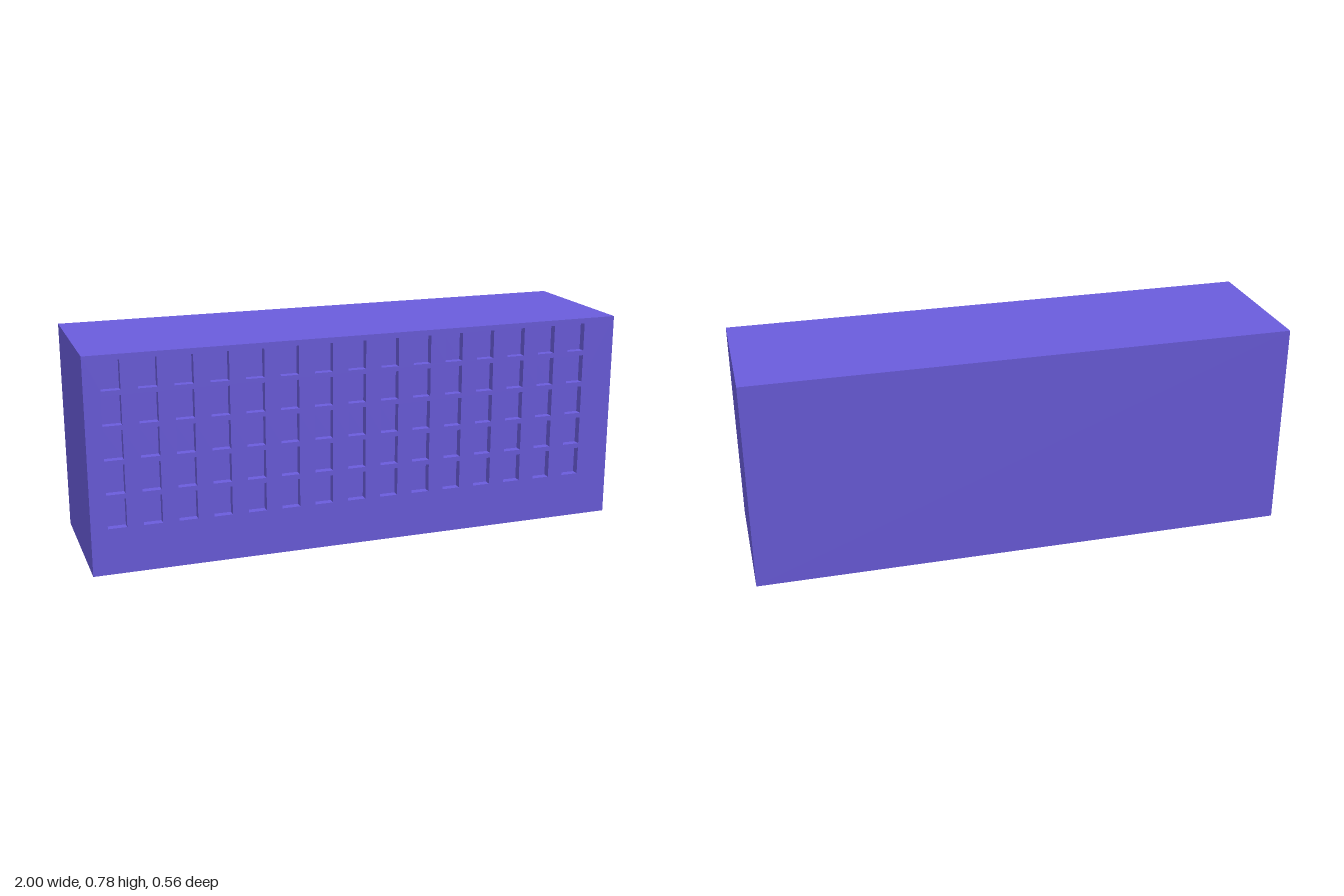
import * as THREE from 'three';
import { mergeGeometries } from 'three/addons/utils/BufferGeometryUtils.js';

const W = 2, H = 0.78, D = 0.556;
const COLS = 15, ROWS = 5;
const WIN_W = 0.067, WIN_H = 0.104, RECESS = 0.028;
const FIRST_X = -0.908, STEP_X = 0.125;
const FIRST_Y = 0.22, STEP_Y = 0.122;

// Box without its +z face; inward = true turns the faces to the inside
function openBox(w, h, d, inward) {
  const geo = new THREE.BoxGeometry(w, h, d);
  const index = Array.from(geo.index.array);
  index.splice(24, 6);
  if (inward) {
    index.reverse();
    const n = geo.attributes.normal;
    for (let i = 0; i < n.count; i++) n.setXYZ(i, -n.getX(i), -n.getY(i), -n.getZ(i));
  }
  geo.setIndex(index);
  geo.clearGroups();
  return geo;
}

export function createModel() {
  const group = new THREE.Group();
  group.name = 'building';
  const material = new THREE.MeshStandardMaterial({ color: 0x6a5cdc });
  const add = (name, geo) => {
    const mesh = new THREE.Mesh(geo, material);
    mesh.name = name;
    group.add(mesh);
  };

  // Sides, roof, base and back wall
  add('buildingBlock', openBox(W, H, D, false).translate(0, H / 2, 0));

  // Front wall pierced by the window grid, with a shallow recess behind each hole
  const wall = new THREE.Shape([
    new THREE.Vector2(-W / 2, 0), new THREE.Vector2(W / 2, 0),
    new THREE.Vector2(W / 2, H), new THREE.Vector2(-W / 2, H),
  ]);
  const recesses = [];
  for (let r = 0; r < ROWS; r++) {
    for (let c = 0; c < COLS; c++) {
      const x = FIRST_X + c * STEP_X, y = FIRST_Y + r * STEP_Y;
      const a = WIN_W / 2, b = WIN_H / 2;
      wall.holes.push(new THREE.Path([
        new THREE.Vector2(x - a, y - b), new THREE.Vector2(x - a, y + b),
        new THREE.Vector2(x + a, y + b), new THREE.Vector2(x + a, y - b),
      ]));
      recesses.push(openBox(WIN_W, WIN_H, RECESS, true).translate(x, y, D / 2 - RECESS / 2));
    }
  }
  add('frontWall', new THREE.ShapeGeometry(wall).translate(0, 0, D / 2));
  add('windowRecesses', mergeGeometries(recesses));

  return group;
}
